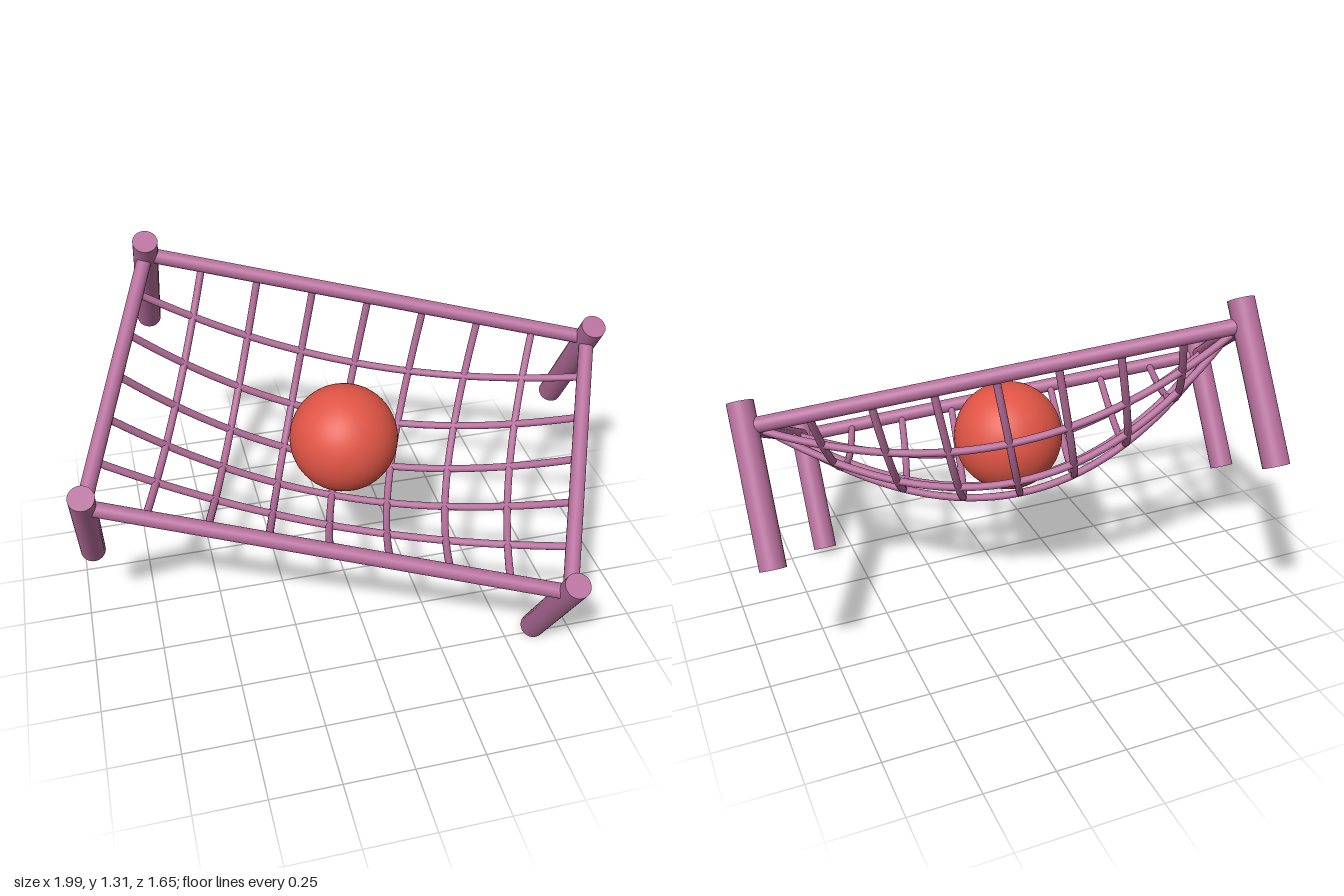
import * as THREE from 'three';

const HX = 0.832, HZ = 0.498; // half length and half width of the frame
const SAG = 0.4;              // depth of the net at its centre

export function createModel() {
  const model = new THREE.Group();
  model.name = 'ballInNet';
  const mauve = new THREE.MeshStandardMaterial({ color: 0xb56e9b });
  mauve.name = 'mauve';
  const red = new THREE.MeshStandardMaterial({ color: 0xe05545 });
  red.name = 'red';

  // Everything is built level, then tilted and turned as one piece
  const table = new THREE.Group();
  table.name = 'tiltedTable';
  table.position.set(0, 0.824, 0.098);
  table.rotation.set(THREE.MathUtils.degToRad(31.6), THREE.MathUtils.degToRad(-20), 0);
  model.add(table);

  const add = (name, geometry, material, x = 0, y = 0, z = 0) => {
    const mesh = new THREE.Mesh(geometry, material);
    mesh.name = name;
    mesh.position.set(x, y, z);
    table.add(mesh);
    return mesh;
  };

  // Legs, standing slightly proud of the rails
  const legGeo = new THREE.CylinderGeometry(0.045, 0.045, 0.556, 32);
  for (const sx of [-1, 1]) {
    for (const sz of [-1, 1]) add('leg', legGeo, mauve, sx * HX, 0.085 - 0.278, sz * HZ);
  }

  // Rails
  const longGeo = new THREE.CylinderGeometry(0.027, 0.027, HX * 2, 24).rotateZ(Math.PI / 2);
  const shortGeo = new THREE.CylinderGeometry(0.027, 0.027, HZ * 2, 24).rotateX(Math.PI / 2);
  for (const s of [-1, 1]) {
    add('longRail', longGeo, mauve, 0, 0, s * HZ);
    add('shortRail', shortGeo, mauve, s * HX, 0, 0);
  }

  // Net strands: parabolas hung between opposite rails
  const strand = (name, start, end, depth) => {
    const middle = start.clone().add(end).multiplyScalar(0.5);
    middle.y -= 2 * depth;
    const curve = new THREE.QuadraticBezierCurve3(start, middle, end);
    add(name, new THREE.TubeGeometry(curve, 40, 0.0135, 12), mauve);
  };
  for (let i = 1; i < 8; i++) {
    const t = i / 4 - 1;
    strand('crossStrand', new THREE.Vector3(t * HX, 0, -HZ), new THREE.Vector3(t * HX, 0, HZ), SAG * (1 - t * t));
  }
  for (let i = 1; i < 6; i++) {
    const t = i / 3 - 1;
    strand('longStrand', new THREE.Vector3(-HX, 0, t * HZ), new THREE.Vector3(HX, 0, t * HZ), SAG * (1 - t * t));
  }

  // Ball resting in the net
  add('ball', new THREE.SphereGeometry(0.199, 48, 32), red, 0, -0.183, 0);

  return model;
}
